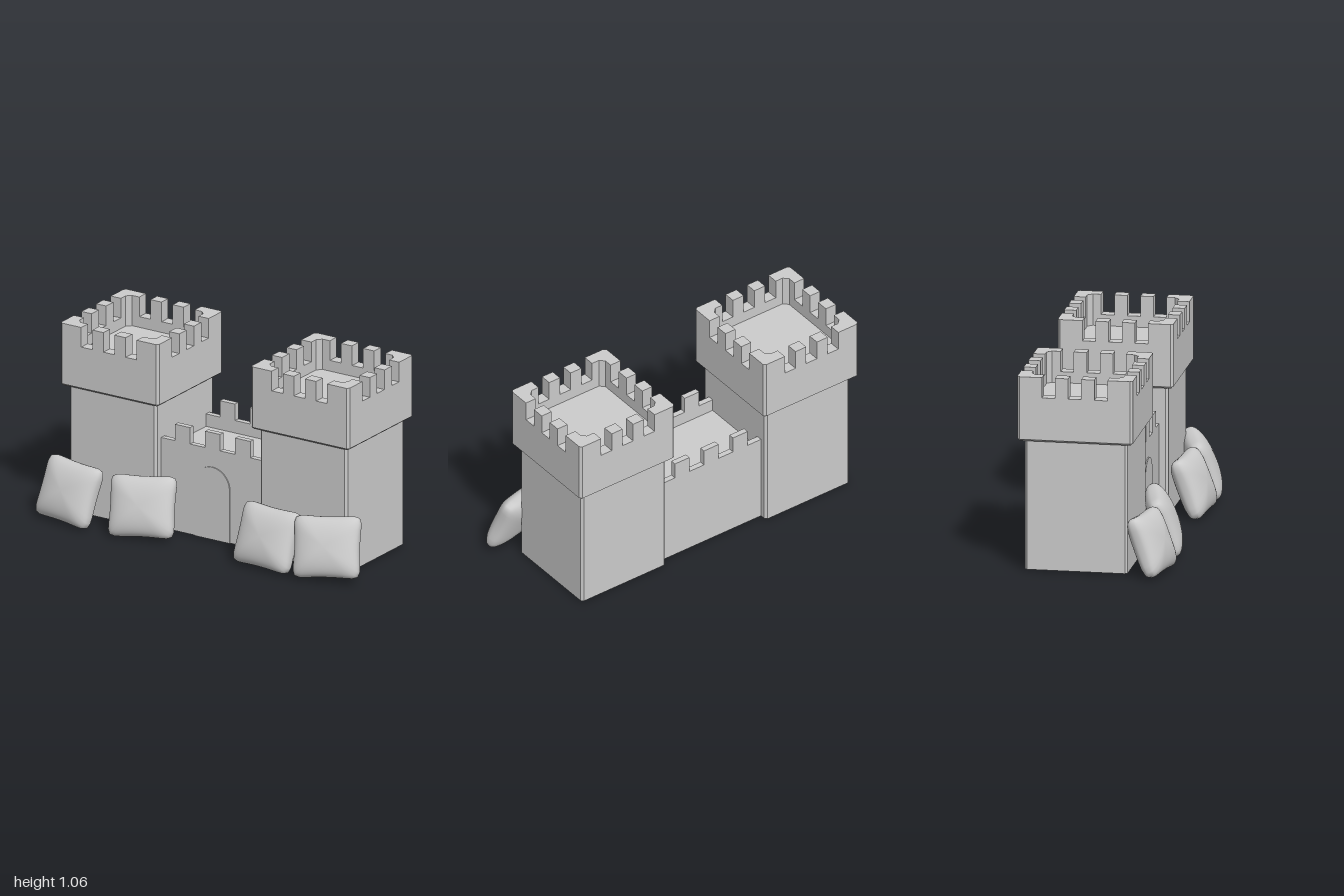
import * as THREE from 'three';
import { mergeVertices } from 'three/addons/utils/BufferGeometryUtils.js';

const mat = new THREE.MeshStandardMaterial({ color: 0xcccccc });
const flat = new THREE.MeshStandardMaterial({ color: 0xcccccc, flatShading: true });

function add(parent, name, geometry, x = 0, y = 0, z = 0, material = flat) {
  const mesh = new THREE.Mesh(geometry, material);
  mesh.name = name;
  mesh.position.set(x, y, z);
  parent.add(mesh);
  return mesh;
}

// Square outline with cut corners
function square(h, c) {
  const pts = [[h, -h + c], [h, h - c], [h - c, h], [-h + c, h], [-h, h - c], [-h, -h + c], [-h + c, -h], [h - c, -h]];
  return pts.map(([x, y]) => new THREE.Vector2(x, y));
}

// Upright prism from a plan outline, standing on y = 0
function prism(outline, height, hole) {
  const shape = new THREE.Shape(outline);
  if (hole) shape.holes.push(new THREE.Path(hole));
  const g = new THREE.ExtrudeGeometry(shape, { depth: height, bevelEnabled: false, curveSegments: 16 });
  return g.rotateX(-Math.PI / 2);
}

function tower(name, x) {
  const t = new THREE.Group();
  t.name = name;
  t.position.set(x, 0, -0.107);

  // Hollow shaft, open below
  add(t, 'towerShaft', prism(square(0.275, 0.013), 0.71, square(0.27, 0.013)), 0, 0.025);

  // Overhanging head with a bevelled underside
  const bevel = new THREE.CylinderGeometry(0.305 * Math.SQRT2, 0.296 * Math.SQRT2, 0.012, 4).rotateY(Math.PI / 4);
  add(t, 'headBevel', bevel, 0, 0.735);
  add(t, 'headBlock', prism(square(0.309, 0.013), 0.17), 0, 0.74);
  add(t, 'parapet', prism(square(0.309, 0.013), 0.06, square(0.245, 0.025)), 0, 0.91);

  // Corner and middle battlements, one side per quarter turn
  const corner = [[0.175, 0.245], [0.22, 0.245], [0.245, 0.22], [0.245, 0.175], [0.309, 0.175],
    [0.309, 0.296], [0.296, 0.309], [0.175, 0.309]].map(([a, b]) => new THREE.Vector2(a, b));
  for (let i = 0; i < 4; i++) {
    const side = new THREE.Group();
    side.name = 'battlements';
    side.rotation.y = i * Math.PI / 2;
    add(side, 'cornerMerlon', prism(corner, 0.11), 0, 0.97);
    for (const s of [-1, 1]) {
      add(side, 'merlon', new THREE.BoxGeometry(0.07, 0.11, 0.064), s * 0.07, 1.025, 0.277);
    }
    t.add(side);
  }
  return t;
}

function gatehouse() {
  const g = new THREE.Group();
  g.name = 'gatehouse';
  g.position.set(-0.011, 0, -0.11);
  add(g, 'gateBlock', new THREE.BoxGeometry(0.65, 0.435, 0.46), 0, 0.2425);
  for (const s of [-1, 1]) {
    add(g, 'gateParapet', new THREE.BoxGeometry(0.65, 0.07, 0.032), 0, 0.495, s * 0.214);
    for (const x of [-0.19, 0, 0.19]) {
      add(g, 'gateMerlon', new THREE.BoxGeometry(0.095, 0.092, 0.032), x, 0.576, s * 0.214);
    }
  }
  // Arched door, barely proud of the wall
  const door = new THREE.Shape();
  door.moveTo(-0.11, 0.025);
  door.lineTo(0.11, 0.025);
  door.lineTo(0.11, 0.32);
  door.absarc(0, 0.32, 0.11, 0, Math.PI, false);
  door.closePath();
  add(g, 'archedDoor', new THREE.ExtrudeGeometry(door, { depth: 0.008, bevelEnabled: false, curveSegments: 20 }), 0, 0, 0.228);
  return g;
}

// Stuffed square cushion: a sphere squared off, with drawn-in sides
function cushionGeometry(hx, hy, hz) {
  let g = new THREE.SphereGeometry(1, 48, 32).rotateX(Math.PI / 2);
  g.deleteAttribute('uv');
  g.deleteAttribute('normal');
  g = mergeVertices(g, 1e-4);
  const p = g.attributes.position;
  for (let i = 0; i < p.count; i++) {
    const x = p.getX(i), y = p.getY(i), z = p.getZ(i);
    const n = Math.pow(x ** 8 + y ** 8, 1 / 8) || 1;
    const k = Math.hypot(x, y) / n;
    const u = x * k, v = y * k;
    p.setXYZ(i,
      hx * u * (1 - 0.07 * (1 - v * v)),
      hy * v * (1 - 0.07 * (1 - u * u)),
      hz * Math.sign(z) * Math.pow(Math.abs(z), 0.75) * (1 - 0.25 * u * u * v * v));
  }
  g.computeVertexNormals();
  return g;
}

export function createModel() {
  const model = new THREE.Group();
  model.name = 'castle';
  model.add(tower('rightTower', -0.611), tower('leftTower', 0.591), gatehouse());

  // Cushions leaning on the front: x, y, z, yaw, roll
  const cushion = cushionGeometry(0.19, 0.172, 0.078);
  const places = [
    [-0.805, 0.182, 0.285, -0.15, -0.03],
    [-0.355, 0.185, 0.268, 0.2, 0.08],
    [0.445, 0.18, 0.285, -0.08, 0],
    [0.808, 0.194, 0.265, 0.27, 0.08],
  ];
  for (const [x, y, z, yaw, roll] of places) {
    add(model, 'cushion', cushion, x, y, z, mat).rotation.set(-0.37, yaw, roll, 'YXZ');
  }
  return model;
}
